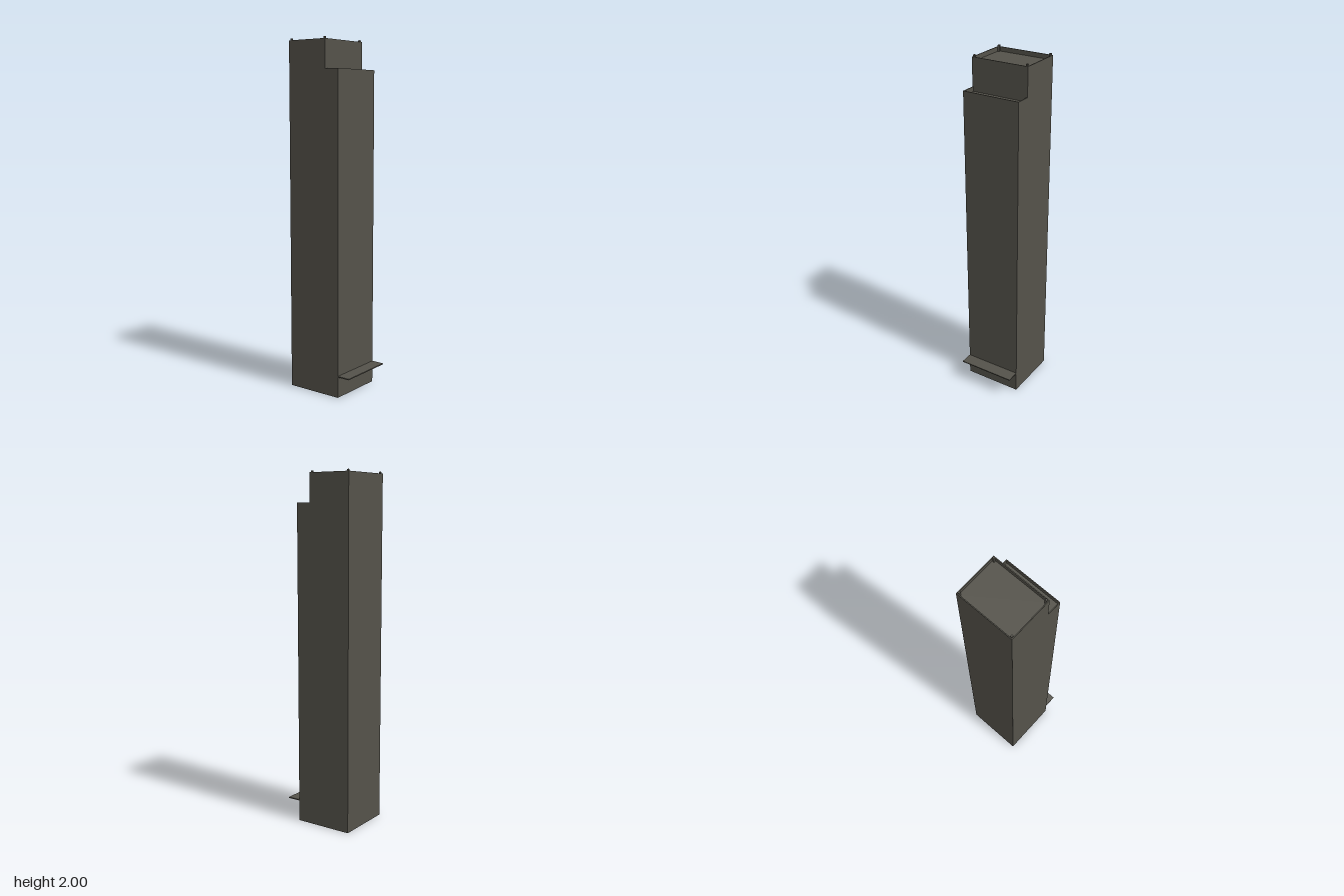
import * as THREE from 'three';

const W = 0.17;                             // half width
const BACK = -0.208, STEP = 0.046, FRONT = 0.132, CANOPY = 0.208;
const TOP = 1.99, TERRACE = 1.83;           // parapet tops
const RIM = 0.005, RECESS = 0.025;          // parapet thickness, roof depth below it
const POST = 0.011;

const material = new THREE.MeshStandardMaterial({
  color: 0x54524a, flatShading: true, side: THREE.DoubleSide,
});

function part(name, geometry) {
  const mesh = new THREE.Mesh(geometry, material);
  mesh.name = name;
  return mesh;
}

// Flat-faced surface between two polylines with matching points [x, y, z]
function strip(a, b) {
  const p = [];
  for (let i = 0; i < a.length - 1; i++) {
    p.push(...a[i], ...a[i + 1], ...b[i + 1], ...a[i], ...b[i + 1], ...b[i]);
  }
  const g = new THREE.BufferGeometry();
  g.setAttribute('position', new THREE.Float32BufferAttribute(p, 3));
  g.computeVertexNormals();
  return g;
}

// Upright panel across the width, facing +z or -z
function panel(z, y0, y1, facing) {
  const x = W * facing;
  return strip([[-x, y0, z], [x, y0, z]], [[-x, y1, z], [x, y1, z]]);
}

// Horizontal floor facing up
function floor(x, z0, z1, y) {
  return strip([[-x, y, z1], [x, y, z1]], [[-x, y, z0], [x, y, z0]]);
}

const at = (path, y) => path.map(([x, z]) => [x, y, z]);

// Rim on top of the wall, inner face and sunken roof
function parapet(name, outer, inner, y, z0, z1) {
  const group = new THREE.Group();
  group.name = name;
  group.add(
    part(name + 'Rim', strip(at(outer, y), at(inner, y))),
    part(name + 'InnerFace', strip(at(inner, y), at(inner, y - RECESS))),
    part(name + 'Floor', floor(W - RIM, z0, z1, y - RECESS)),
  );
  return group;
}

export function createModel() {
  const model = new THREE.Group();
  model.name = 'towerBlock';

  // Hollow shaft, open underneath
  model.add(
    part('frontWall', panel(FRONT, 0, TERRACE, 1)),
    part('upperFrontWall', panel(STEP, TERRACE - RECESS, TOP, 1)),
    part('backWall', panel(BACK, 0, TOP, -1)),
  );

  // Stepped side walls
  const profile = new THREE.Shape([
    [BACK, 0], [FRONT, 0], [FRONT, TERRACE], [STEP, TERRACE], [STEP, TOP], [BACK, TOP],
  ].map(([z, y]) => new THREE.Vector2(-z, y)));
  const mirrored = new THREE.Shape(profile.getPoints().map((p) => new THREE.Vector2(-p.x, p.y)));
  for (const [side, shape, name] of [[1, profile, 'leftWall'], [-1, mirrored, 'rightWall']]) {
    const wall = part(name, new THREE.ShapeGeometry(shape));
    wall.rotation.y = side * Math.PI / 2;
    wall.position.x = side * W;
    model.add(wall);
  }

  // Main roof with a closed parapet
  const ring = (x, z0, z1) => [[-x, z0], [-x, z1], [x, z1], [x, z0], [-x, z0]];
  model.add(parapet('mainRoof', ring(W, BACK, STEP),
    ring(W - RIM, BACK + RIM, STEP - RIM), TOP, BACK + RIM, STEP - RIM));

  // Front terrace with a three-sided parapet
  const horseshoe = (x, z1) => [[-x, STEP], [-x, z1], [x, z1], [x, STEP]];
  model.add(parapet('terrace', horseshoe(W, FRONT),
    horseshoe(W - RIM, FRONT - RIM), TERRACE, STEP, FRONT - RIM));

  // Corner posts standing just above the parapet
  const postHeight = 2 - (TOP - RECESS);
  const postGeometry = new THREE.BoxGeometry(POST, postHeight, POST);
  const inset = RIM + POST / 2;
  for (const x of [-W + inset, W - inset]) {
    for (const z of [BACK + inset, STEP - inset]) {
      const post = part('cornerPost', postGeometry);
      post.position.set(x, 2 - postHeight / 2, z);
      model.add(post);
    }
  }

  // Thin canopy over the entrance
  const canopy = part('canopy', new THREE.BoxGeometry(2 * W, 0.006, CANOPY - FRONT));
  canopy.position.set(0, 0.123, (CANOPY + FRONT) / 2);
  model.add(canopy);

  return model;
}
